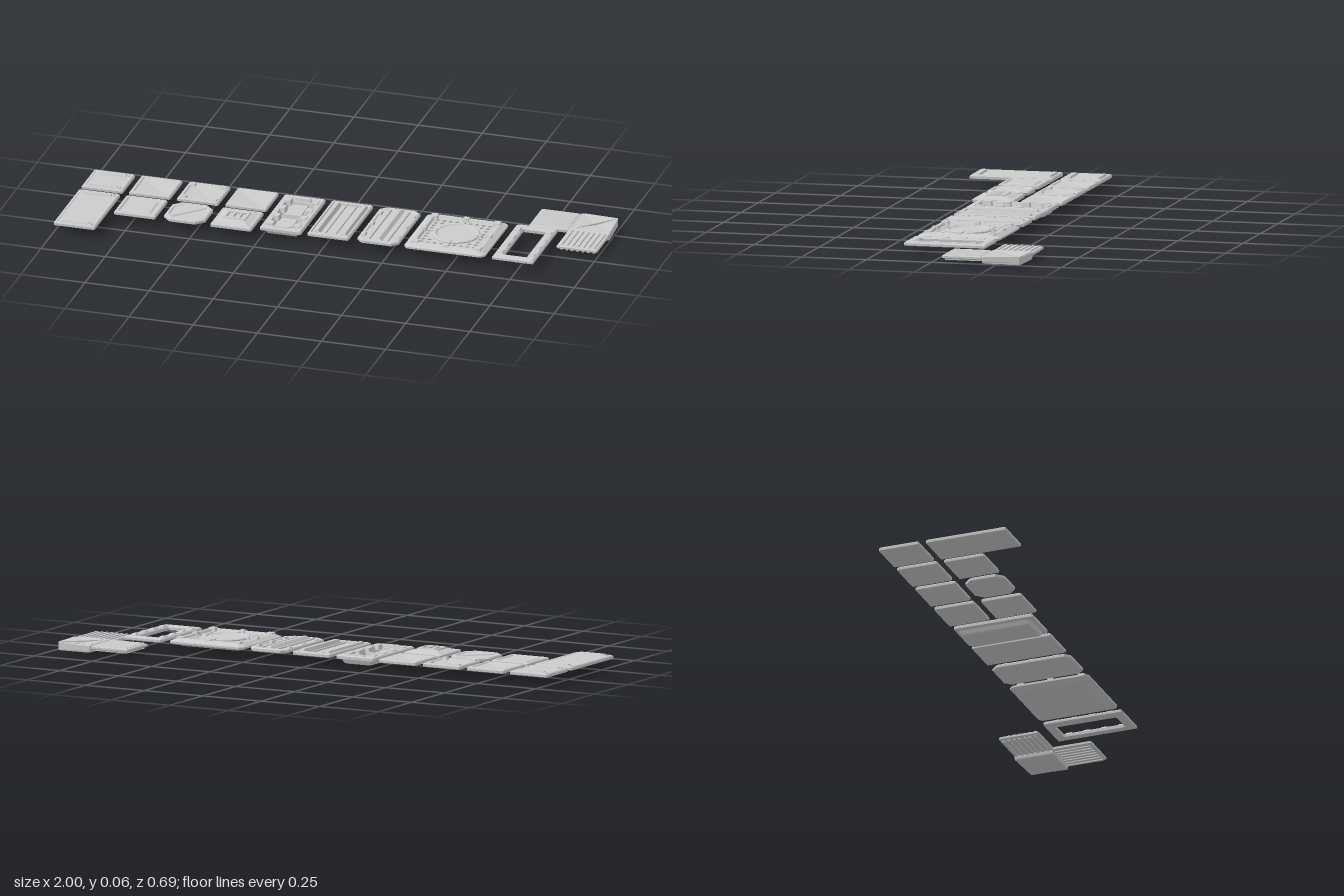
import * as THREE from 'three';

const mat = new THREE.MeshStandardMaterial({ color: 0xcccccc, flatShading: true, side: THREE.DoubleSide });

// Rectangle with cut corners, counter-clockwise seen from above
function outline(hx, hz, c) {
  c = Math.min(c, hx * 0.9, hz * 0.9);
  return [[hx, hz - c], [hx, c - hz], [hx - c, -hz], [c - hx, -hz],
    [-hx, c - hz], [-hx, hz - c], [c - hx, hz], [hx - c, hz]];
}

// Loft of [inset, y] rings from bottom to top; open = ring frame, otherwise capped (peak = height of top centre)
function loft(w, d, profile, { cut = 0.004, peak = null, open = false } = {}) {
  const pos = [], idx = [], n = 8;
  for (const [inset, y] of profile)
    for (const [x, z] of outline(w / 2 - inset, d / 2 - inset, cut)) pos.push(x, y, z);
  const rows = profile.length;
  for (let r = 0; r < (open ? rows : rows - 1); r++)
    for (let i = 0; i < n; i++) {
      const j = (i + 1) % n, a = r * n, b = ((r + 1) % rows) * n;
      idx.push(a + i, a + j, b + j, a + i, b + j, b + i);
    }
  if (!open) {
    const last = (rows - 1) * n, c = rows * n;
    pos.push(0, profile[0][1], 0, 0, peak ?? profile[rows - 1][1], 0);
    for (let i = 0; i < n; i++) {
      const j = (i + 1) % n;
      idx.push(c, j, i, c + 1, last + i, last + j);
    }
  }
  const g = new THREE.BufferGeometry();
  g.setAttribute('position', new THREE.Float32BufferAttribute(pos, 3));
  g.setIndex(idx);
  g.computeVertexNormals();
  return g;
}

function add(parent, name, geo, x = 0, y = 0, z = 0) {
  const m = new THREE.Mesh(geo, mat);
  m.name = name;
  m.position.set(x, y, z);
  parent.add(m);
  return m;
}

// Raised block with sloped sides
const pad = (p, name, x, z, w, d, y0, y1, slope = 0.005) =>
  add(p, name, loft(w, d, [[0, y0], [slope, y1]], { cut: 0.002 }), x, 0, z);

const edge = [[0.008, 0.028], [0, 0.031], [0, 0.04], [0.004, 0.044]];
const dish = [...edge, [0.012, 0.044], [0.016, 0.04]];

export function createModel() {
  const root = new THREE.Group();
  root.name = 'floorPanelSet';
  const tile = (name, x, z) => {
    const g = new THREE.Group();
    g.name = name;
    g.position.set(x, 0, z);
    root.add(g);
    return g;
  };
  const S = 0.16, L = 0.315, zA = -0.083, zB = 0.105;

  // Plain panels with end bars
  for (const [name, z, len] of [['endBarTile', zA, S], ['longEndBarTile', 0.185, 0.32]]) {
    const g = tile(name, -0.92, z);
    add(g, 'slab', loft(S, len, [...edge, [0.01, 0.044], [0.013, 0.042]]));
    for (const s of [-1, 1]) {
      pad(g, 'endBar', 0, s * (len / 2 - 0.025), 0.115, 0.026, 0.041, 0.049);
      for (const t of [-1, 1]) pad(g, 'barFoot', t * 0.058, s * (len / 2 - 0.02), 0.02, 0.03, 0.041, 0.046);
    }
  }

  // Shallow dished panels with four facets
  for (const [name, x] of [['facetTile', -0.735], ['cornerPadTile', -0.548], ['wideFacetTile', -0.36]]) {
    const g = tile(name, x, zA);
    add(g, 'slab', loft(S, S, name === 'wideFacetTile' ? edge : dish, { peak: 0.034 }));
    if (name === 'cornerPadTile')
      for (const sx of [-1, 1]) for (const sz of [-1, 1])
        pad(g, 'cornerPad', sx * 0.06, sz * 0.06, 0.028, 0.028, 0.037, 0.048);
  }

  // Square inset panel
  const square = tile('insetTile', -0.735, zB);
  add(square, 'slab', loft(S, S, [...dish, [0.024, 0.039], [0.03, 0.043]]));

  // Cut-corner panel with a diagonal ridge
  const diagonal = tile('diagonalTile', -0.548, zB);
  add(diagonal, 'slab', loft(S, S, dish, { cut: 0.03 }));
  const ridge = pad(diagonal, 'diagonalRidge', 0, 0, 0.165, 0.014, 0.039, 0.045);
  ridge.rotation.y = Math.PI / 4;

  // Raised vent: frustum with three slots between low bars
  const vent = tile('raisedVentTile', -0.36, zB);
  add(vent, 'slopedBase', loft(S, S, [...edge, [0.012, 0.044], [0.042, 0.054], [0.044, 0.049]]));
  for (let i = -1.5; i <= 1.5; i++) pad(vent, 'ventBar', i * 0.026, 0, 0.012, 0.074, 0.048, 0.057, 0.002);
  for (const s of [-1, 1]) pad(vent, 'ventEnd', 0, s * 0.03, 0.09, 0.018, 0.048, 0.057, 0.002);

  // Deep trough with side blocks and cross ribs
  const trough = tile('troughTile', -0.175, 0);
  add(trough, 'trough', loft(S, L, [[0.03, 0.009], [0.022, 0.012], [0.015, 0.027], [0, 0.03],
    [0, 0.04], [0.004, 0.044], [0.022, 0.044], [0.034, 0.022]]));
  for (const s of [-1, 1]) {
    for (const z of [-0.11, -0.037, 0.037, 0.11]) pad(trough, 'sideBlock', s * 0.053, z, 0.036, 0.04, 0.03, 0.047);
    pad(trough, 'endBlock', 0, s * 0.135, 0.07, 0.026, 0.03, 0.047);
    pad(trough, 'floorPanel', 0, s * 0.065, 0.06, 0.1, 0.021, 0.028);
  }
  for (const z of [-0.12, 0, 0.12]) pad(trough, 'crossRib', 0, z, 0.08, 0.014, 0.021, 0.036, 0.003);

  // Lengthwise channel between raised rails
  const channel = tile('channelTile', 0.01, 0);
  add(channel, 'slab', loft(S, L, [...edge, [0.01, 0.044], [0.014, 0.036]]));
  for (const s of [-1, 1]) {
    pad(channel, 'outerRail', s * 0.053, 0, 0.034, 0.28, 0.035, 0.05, 0.009);
    pad(channel, 'innerRail', s * 0.02, 0, 0.01, 0.28, 0.035, 0.041, 0.002);
    pad(channel, 'endBar', 0, s * 0.142, 0.1, 0.012, 0.035, 0.044, 0.002);
  }

  // Cut-corner panel with a central spine
  const spine = tile('spineTile', 0.2, 0);
  add(spine, 'slab', loft(S, L, dish, { cut: 0.022 }));
  pad(spine, 'spine', 0, 0, 0.036, 0.3, 0.039, 0.051, 0.012);
  for (const s of [-1, 1]) {
    pad(spine, 'sideRail', s * 0.036, 0, 0.012, 0.28, 0.039, 0.045, 0.003);
    for (const z of [-0.1, 0, 0.1]) pad(spine, 'edgeClip', s * 0.066, z, 0.022, 0.035, 0.038, 0.047);
  }

  // Large grate with a round centre
  const grate = tile('roundGrateTile', 0.462, 0);
  add(grate, 'base', loft(L, L, [[0.03, 0.02], [0.012, 0.027], [0.008, 0.031], [0.04, 0.031]], { cut: 0.02 }));
  add(grate, 'border', loft(L, L, [[0.012, 0.027], [0, 0.031], [0, 0.038], [0.022, 0.05],
    [0.034, 0.05], [0.04, 0.042], [0.04, 0.03]], { cut: 0.014, open: true }));
  const plate = new THREE.Shape([[-1, -1], [1, -1], [1, 1], [-1, 1]].map(([x, y]) => new THREE.Vector2(x * 0.12, y * 0.12)));
  for (let i = -4; i <= 4; i++) for (let j = -4; j <= 4; j++) {
    const x = i * 0.0255, y = j * 0.0255;
    if (Math.hypot(x, y) < 0.1) continue;
    plate.holes.push(new THREE.Path().absarc(x, y, 0.009, 0, Math.PI * 2, true));
  }
  const sheet = new THREE.ExtrudeGeometry(plate, { depth: 0.006, bevelEnabled: false, curveSegments: 4 });
  add(grate, 'holedPlate', sheet.rotateX(-Math.PI / 2), 0, 0.036, 0);
  const disc = [[0.09, 0.04], [0.09, 0.046], [0.086, 0.049], [0.076, 0.049], [0.072, 0.045], [0, 0.045]];
  add(grate, 'centreDisc', new THREE.LatheGeometry(disc.map(p => new THREE.Vector2(...p)), 32));
  for (let k = 0; k < 4; k++) {
    const side = new THREE.Group();
    side.name = 'grateSide';
    side.rotation.y = k * Math.PI / 2;
    grate.add(side);
    pad(side, 'edgeClip', 0, 0.128, 0.03, 0.03, 0.04, 0.054);
    pad(side, 'discLug', 0, 0.088, 0.016, 0.03, 0.04, 0.051, 0.003);
    pad(side, 'cornerPad', 0.122, 0.122, 0.036, 0.036, 0.04, 0.054);
  }

  // Open frame
  const frame = tile('openFrameTile', 0.73, 0);
  add(frame, 'frame', loft(S, L, [[0.008, 0.028], [0, 0.031], [0, 0.039], [0.006, 0.044],
    [0.028, 0.044], [0.035, 0.039], [0.035, 0.028]], { open: true }));
  for (const s of [-1, 1]) for (const z of [-0.105, -0.035, 0.035, 0.105])
    pad(frame, 'sideClip', s * 0.061, z, 0.028, 0.034, 0.04, 0.047);

  // Corner piece: two ribbed arms meeting at a cut-corner block
  const slab = [[0.008, 0.015], [0, 0.019], [0, 0.026], [0.004, 0.029]];
  const ribbed = (name, x, z, turn) => {
    const g = tile(name, x, z);
    g.rotation.y = turn;
    add(g, 'slab', loft(0.158, 0.158, slab));
    for (let i = -3; i <= 3; i++) {
      pad(g, 'rib', 0, i * 0.021, 0.145, 0.013, 0.028, 0.033, 0.003);
      add(g, 'underRib', new THREE.BoxGeometry(0.14, 0.005, 0.009), 0, 0.013, i * 0.021);
    }
  };
  ribbed('ribbedTileSide', 0.765, -0.27, 0);
  ribbed('ribbedTileFront', 0.919, -0.118, Math.PI / 2);
  const corner = tile('cornerTile', 0.922, -0.271);
  const block = loft(0.156, 0.156, [[0.012, 0.001], [0.002, 0.004], [0, 0.012], [0, 0.029], [0.005, 0.033], [0.012, 0.032]], { peak: 0.026 });
  const p = block.attributes.position;
  for (let i = 0; i < p.count; i++) {
    // Cut the outer back corner
    const over = p.getX(i) - p.getZ(i) - 0.13;
    if (over > 0) p.setXYZ(i, p.getX(i) - over / 2, p.getY(i), p.getZ(i) + over / 2);
  }
  block.computeVertexNormals();
  add(corner, 'cornerBlock', block);
  const seam = pad(corner, 'diagonalSeam', 0, 0, 0.17, 0.008, 0.025, 0.033, 0.002);
  seam.rotation.y = Math.PI / 4;

  return root;
}
